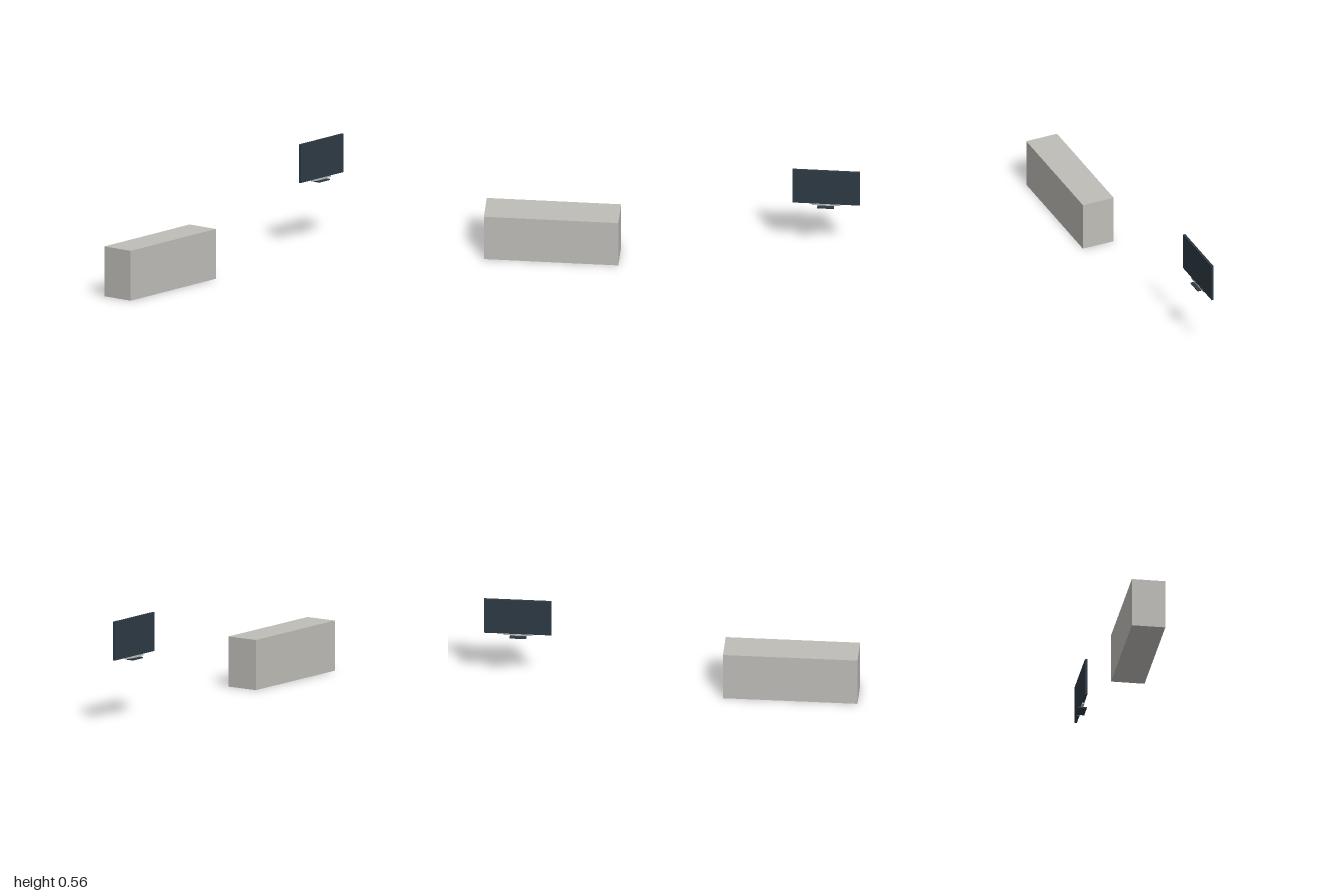
import * as THREE from 'three';

const paint = (name, color) => {
  const m = new THREE.MeshStandardMaterial({ color });
  m.name = name;
  return m;
};

// Box given by its min and max corners
function block(name, material, [x0, y0, z0], [x1, y1, z1]) {
  const mesh = new THREE.Mesh(new THREE.BoxGeometry(x1 - x0, y1 - y0, z1 - z0), material);
  mesh.position.set((x0 + x1) / 2, (y0 + y1) / 2, (z0 + z1) / 2);
  mesh.name = name;
  return mesh;
}

export function createModel() {
  const stone = paint('warm grey', 0xbfbdb8);
  const slate = paint('dark slate', 0x2d3a45);
  const model = new THREE.Group();
  model.name = 'televisionAndCabinet';

  // Low cabinet
  model.add(block('cabinet', stone, [-1, 0, -0.083], [-0.28, 0.272, 0.098]));

  // Flat television on its stand
  const television = new THREE.Group();
  television.name = 'television';
  television.add(
    block('screen', slate, [0.638, 0.347, -0.079], [1, 0.557, -0.067]),
    block('standBar', stone, [0.74, 0.338, -0.079], [0.895, 0.346, -0.067]),
    block('standNeck', stone, [0.775, 0.334, -0.079], [0.857, 0.338, -0.067]),
    block('standBase', slate, [0.772, 0.329, -0.098], [0.861, 0.336, -0.049]),
  );
  model.add(television);
  return model;
}
